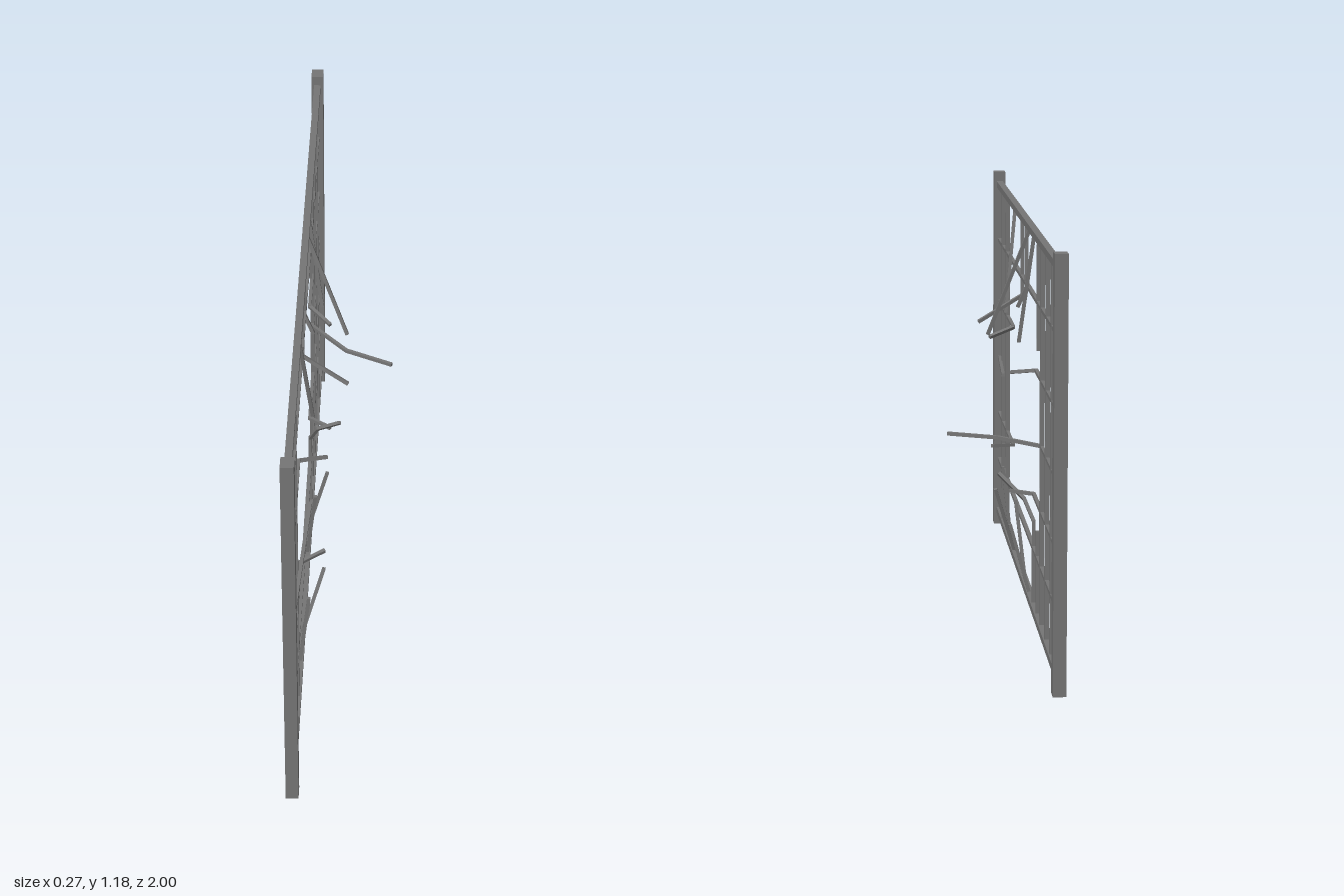
import * as THREE from 'three';

const X = -0.12; // plane of the fence

export function createModel() {
  const group = new THREE.Group();
  const steel = new THREE.MeshStandardMaterial({ color: 0x757575 });
  steel.name = 'grey steel';

  // Square bar running through a list of points, one box per segment
  function bar(name, points, size = 0.01) {
    const part = new THREE.Group();
    part.name = name;
    const pts = points.map((p) => new THREE.Vector3(...p));
    for (let i = 0; i + 1 < pts.length; i++) {
      const dir = pts[i + 1].clone().sub(pts[i]);
      const length = dir.length();
      dir.normalize();
      const side = new THREE.Vector3(1, 0, 0).addScaledVector(dir, -dir.x).normalize();
      const up = dir.clone().cross(side);
      const extra = i + 2 < pts.length ? size * 0.3 : 0; // closes the bend
      const mesh = new THREE.Mesh(new THREE.BoxGeometry(size, size, length + extra), steel);
      mesh.name = name + 'Segment';
      mesh.quaternion.setFromRotationMatrix(new THREE.Matrix4().makeBasis(side, up, dir));
      mesh.position.copy(pts[i]).addScaledVector(dir, (length + extra) / 2);
      part.add(mesh);
    }
    group.add(part);
  }

  // End posts
  for (const s of [1, -1]) {
    const post = new THREE.Mesh(new THREE.BoxGeometry(0.036, 1.18, 0.045), steel);
    post.name = s > 0 ? 'frontPost' : 'backPost';
    post.position.set(X, 0.59, s * 0.9775);
    group.add(post);
  }

  // Rails and whole horizontal bars
  for (const y of [0.048, 1.14]) bar('rail', [[X, y, -0.96], [X, y, 0.96]], 0.02);
  for (const y of [0.222, 0.957]) bar('horizontalBar', [[X, y, -0.96], [X, y, 0.96]], 0.011);

  // Whole vertical bars
  for (const z of [0.795, 0.64, -0.495, -0.645, -0.79]) {
    bar('verticalBar', [[X, 0.05, z], [X, 1.14, z]], 0.013);
  }

  // Torn horizontal bars, front half
  bar('tornHorizontalBar', [[X, 0.754, 0.96], [X, 0.754, 0.43], [-0.042, 0.732, 0.383]]);
  bar('tornHorizontalBar', [[X, 0.567, 0.96], [-0.088, 0.603, 0.43]]);
  bar('tornHorizontalBar', [[X, 0.38, 0.96], [X, 0.38, 0.43], [-0.05, 0.388, 0.383]]);

  // Torn horizontal bars, back half
  bar('tornHorizontalBar', [[X, 0.754, -0.96], [X, 0.754, -0.32], [-0.055, 0.737, -0.25]]);
  bar('tornHorizontalBar', [[X, 0.568, -0.96], [X, 0.568, -0.48], [-0.01, 0.568, -0.353], [0.13, 0.568, -0.285]]);
  bar('tornHorizontalBar', [[X, 0.38, -0.96], [X, 0.38, -0.255], [-0.055, 0.38, -0.207]]);

  // Torn bars hanging from the top rail
  const hanging = [
    [[X, 1.14, 0.37], [-0.085, 0.82, 0.307]],
    [[X, 1.14, 0.134], [X, 0.9, 0.134], [0.01, 0.818, 0.152]],
    [[X, 1.14, -0.003], [X, 0.945, -0.005], [-0.095, 0.885, 0.002]],
    [[X, 1.14, -0.136], [0, 0.82, -0.088]],
    [[X, 1.14, -0.255], [-0.078, 0.82, -0.228]],
    [[X, 1.14, -0.377], [X, 0.82, -0.377]],
  ];
  for (const points of hanging) bar('hangingBar', points);

  // Torn bars standing on the bottom rail
  const standing = [
    [[X, 0.05, 0.49], [-0.092, 0.298, 0.49]],
    [[X, 0.05, 0.37], [-0.055, 0.265, 0.318]],
    [[X, 0.05, -0.003], [-0.092, 0.298, 0.025]],
    [[X, 0.05, -0.136], [-0.062, 0.262, -0.136]],
    [[X, 0.05, -0.258], [X, 0.3, -0.258], [-0.095, 0.36, -0.228], [-0.025, 0.425, -0.176]],
    [[X, 0.05, -0.377], [X, 0.3, -0.377]],
  ];
  for (const points of standing) bar('standingBar', points);

  return group;
}
